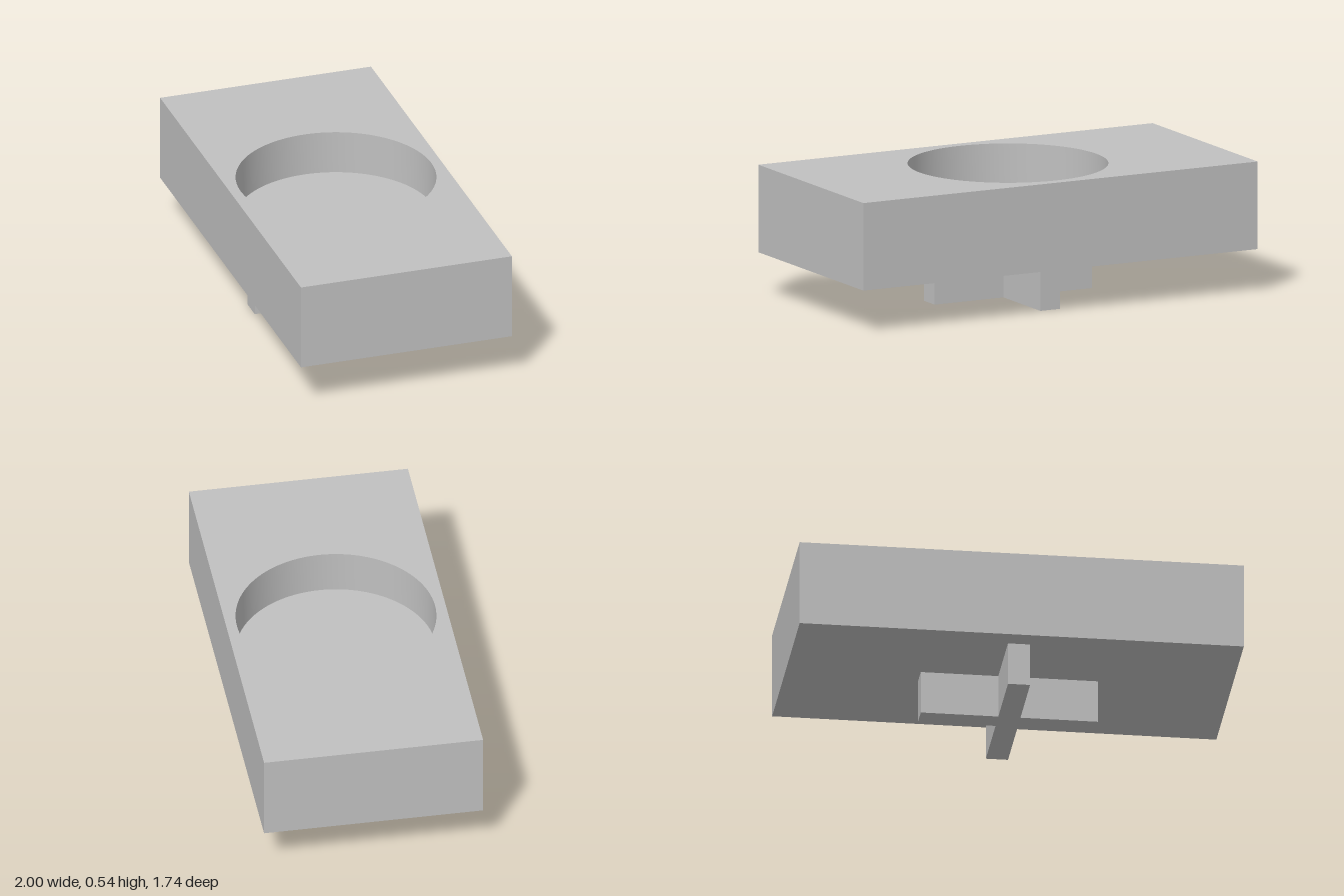
import * as THREE from 'three';
import { toCreasedNormals } from 'three/addons/utils/BufferGeometryUtils.js';

const LENGTH = 1.805, WIDTH = 0.896;      // block footprint
const ARM = 0.36, HALF_ARM_WIDTH = 0.045; // cross key under the block
const LAYER = 0.18;                       // foot, recess floor and rim are equally thick
const TURN = THREE.MathUtils.degToRad(-33.25);

// Extrudes a plan shape upwards by one layer
function extrudeUp(shape) {
  const geometry = new THREE.ExtrudeGeometry(shape, { depth: LAYER, bevelEnabled: false, curveSegments: 72 });
  geometry.rotateX(-Math.PI / 2);
  return toCreasedNormals(geometry, Math.PI / 6);
}

export function createModel() {
  const model = new THREE.Group();
  model.name = 'recessedBlock';
  const grey = new THREE.MeshStandardMaterial({ color: 0xc0c0c0 });
  grey.name = 'plain grey';

  const add = (name, geometry, y) => {
    const mesh = new THREE.Mesh(geometry, grey);
    mesh.name = name;
    mesh.position.y = y;
    body.add(mesh);
  };

  const body = new THREE.Group();
  body.name = 'body';
  body.rotation.y = TURN;
  model.add(body);

  // Cross-shaped foot
  const a = ARM, w = HALF_ARM_WIDTH;
  const cross = new THREE.Shape([
    [a, -w], [a, w], [w, w], [w, a], [-w, a], [-w, w],
    [-a, w], [-a, -w], [-w, -w], [-w, -a], [w, -a], [w, -w],
  ].map(([x, y]) => new THREE.Vector2(x, y)));
  add('crossFoot', extrudeUp(cross), 0);

  // Lower half of the block, which is the floor of the recess
  add('blockBase', new THREE.BoxGeometry(LENGTH, LAYER, WIDTH), LAYER * 1.5);

  // Upper half of the block with the round recess
  const l = LENGTH / 2, h = WIDTH / 2;
  const rim = new THREE.Shape([
    [-l, -h], [l, -h], [l, h], [-l, h],
  ].map(([x, y]) => new THREE.Vector2(x, y)));
  rim.holes.push(new THREE.Path().absarc(0, 0, 0.405, 0, Math.PI * 2, true));
  add('blockRim', extrudeUp(rim), LAYER * 2);

  return model;
}
